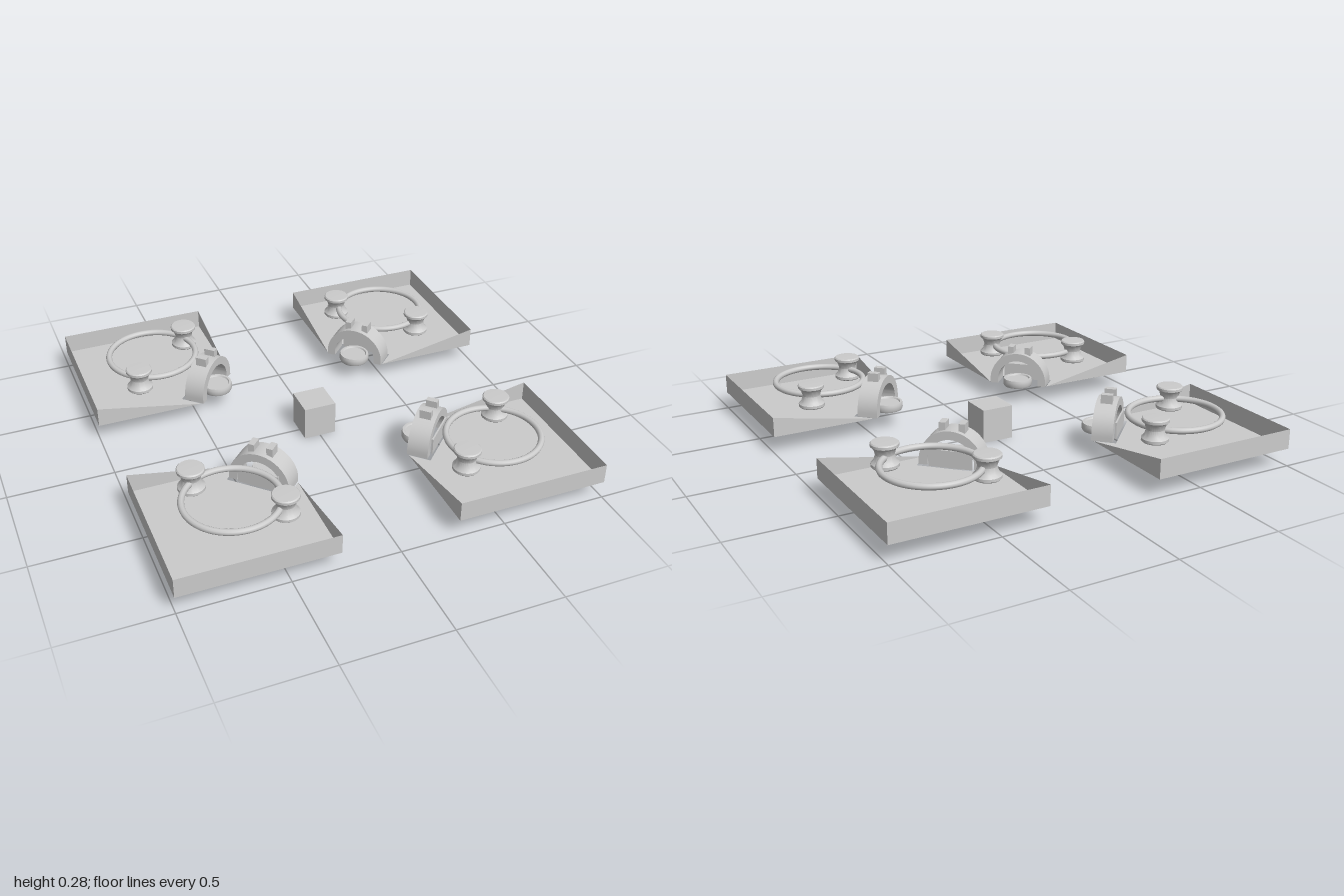
import * as THREE from 'three';
import { toCreasedNormals } from 'three/addons/utils/BufferGeometryUtils.js';

const mat = new THREE.MeshStandardMaterial({ color: 0xcccccc, side: THREE.DoubleSide });

const BASE = 0.085, RIM = 0.18, IN = 0.275, OUT = 1, MID = 0.63;

function add(parent, name, geometry, x = 0, y = 0, z = 0) {
  const mesh = new THREE.Mesh(geometry, mat);
  mesh.name = name;
  mesh.position.set(x, y, z);
  parent.add(mesh);
  return mesh;
}

function polygon(points) {
  return new THREE.Shape(points.map(([x, y]) => new THREE.Vector2(x, y)));
}

function lathe(points, segments = 32) {
  const g = new THREE.LatheGeometry(points.map(([r, y]) => new THREE.Vector2(r, y)), segments);
  return toCreasedNormals(g, 0.6);
}

// Open tray with a notched inner corner, full outer walls and sloping inner walls
function makeTray() {
  const tray = new THREE.Group();
  tray.name = 'tray';

  const floor = new THREE.ShapeGeometry(polygon([
    [OUT, OUT], [IN, OUT], [IN, 0.49], [0.35, 0.565], [0.565, 0.35], [0.49, IN], [OUT, IN],
  ]));
  floor.rotateX(Math.PI / 2);
  add(tray, 'trayFloor', floor, 0, BASE, 0);

  const span = OUT - IN, mid = (OUT + IN) / 2, h = RIM - BASE;
  add(tray, 'outerWall', new THREE.PlaneGeometry(span, h), mid, BASE + h / 2, OUT);
  add(tray, 'outerWall', new THREE.PlaneGeometry(span, h), OUT, BASE + h / 2, mid).rotation.y = Math.PI / 2;

  const slope = polygon([[0.49, BASE], [OUT, BASE], [OUT, RIM]]);
  add(tray, 'innerWall', new THREE.ShapeGeometry(slope), 0, 0, IN);
  add(tray, 'innerWall', new THREE.ShapeGeometry(slope), IN, 0, 0).rotation.y = -Math.PI / 2;
  return tray;
}

// Arched gate across the inner corner, with top blocks and a round foot
function makeGate() {
  const gate = new THREE.Group();
  gate.name = 'gate';
  const R = 0.148, r = 0.108, spring = 0.105, depth = 0.1;

  const arch = new THREE.Shape();
  arch.moveTo(R, BASE);
  arch.lineTo(R, spring);
  arch.absarc(0, spring, R, 0, Math.PI, false);
  arch.lineTo(-R, BASE);
  arch.lineTo(-r, BASE);
  arch.lineTo(-r, spring);
  arch.absarc(0, spring, r, Math.PI, 0, true);
  arch.lineTo(r, BASE);
  const archGeo = new THREE.ExtrudeGeometry(arch, { depth, bevelEnabled: false, curveSegments: 20 });
  add(gate, 'arch', toCreasedNormals(archGeo, 0.6), 0, 0, -depth / 2);

  for (const s of [-1, 1]) {
    add(gate, 'topBlock', new THREE.BoxGeometry(0.03, 0.05, 0.055), s * 0.045, 0.258, 0);
  }
  add(gate, 'backPlate', new THREE.BoxGeometry(0.2, 0.08, 0.008), 0, BASE + 0.04, 0.055);

  // Shallow round cup, open underneath
  add(gate, 'roundFoot', lathe([
    [0, 0.118], [0.058, 0.118], [0.062, 0.125], [0.072, 0.125], [0.075, 0.115],
    [0.075, 0.095], [0.07, 0.085], [0.058, 0.085], [0.055, 0.112], [0, 0.112],
  ]), 0, 0, -0.05);

  gate.position.set(0.41, 0, 0.41);
  gate.rotation.y = Math.PI / 4;
  return gate;
}

// Raised ring held by two spools
function makeRing() {
  const ring = new THREE.Group();
  ring.name = 'ringAssembly';
  add(ring, 'ring', new THREE.TorusGeometry(0.217, 0.015, 10, 64).rotateX(Math.PI / 2), MID, 0.2, MID);
  const spool = lathe([
    [0, 0.147], [0.058, 0.147], [0.063, 0.152], [0.063, 0.165], [0.05, 0.178], [0.042, 0.205],
    [0.05, 0.232], [0.063, 0.244], [0.063, 0.256], [0.058, 0.261], [0, 0.263],
  ]);
  add(ring, 'spool', spool, 0.43, 0, 0.75);
  add(ring, 'spool', spool, 0.75, 0, 0.43);
  return ring;
}

export function createModel() {
  const model = new THREE.Group();
  model.name = 'model';

  // Same corner unit, turned to each quadrant
  for (let i = 0; i < 4; i++) {
    const corner = new THREE.Group();
    corner.name = 'cornerUnit';
    corner.add(makeTray(), makeGate(), makeRing());
    corner.rotation.y = i * Math.PI / 2;
    model.add(corner);
  }

  add(model, 'centreBlock', new THREE.BoxGeometry(0.157, 0.165, 0.157), 0, 0.0825, 0);
  return model;
}
